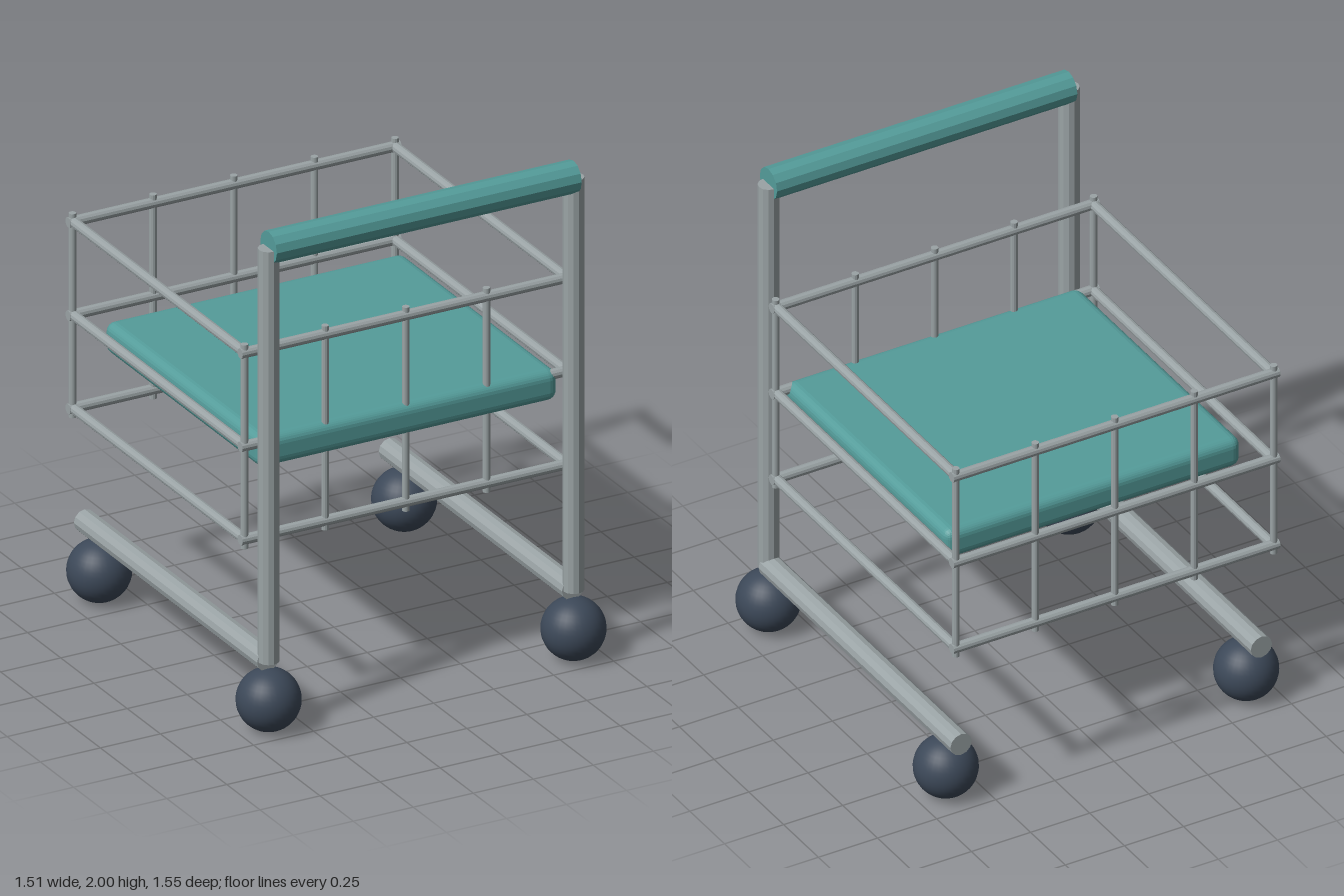
import * as THREE from 'three';
import { RoundedBoxGeometry } from 'three/addons/geometries/RoundedBoxGeometry.js';

export function createModel() {
  const group = new THREE.Group();
  const metal = new THREE.MeshStandardMaterial({ color: 0x9aa3a5, flatShading: true });
  metal.name = 'grey metal';
  const teal = new THREE.MeshStandardMaterial({ color: 0x549c9a, flatShading: true });
  teal.name = 'teal padding';
  const rubber = new THREE.MeshStandardMaterial({ color: 0x3c4858 });
  rubber.name = 'dark rubber';

  const add = (name, geometry, material, x, y, z) => {
    const mesh = new THREE.Mesh(geometry, material);
    mesh.name = name;
    mesh.position.set(x, y, z);
    group.add(mesh);
    return mesh;
  };

  // Straight round bar along one axis, centred on the given point
  const bar = (name, axis, radius, length, x, y, z, material = metal) => {
    const geometry = new THREE.CylinderGeometry(radius, radius, length, 12);
    if (axis === 'x') geometry.rotateZ(Math.PI / 2);
    if (axis === 'z') geometry.rotateX(Math.PI / 2);
    return add(name, geometry, material, x, y, z);
  };

  // Frame: uprights, floor rails and ball wheels on both sides
  for (const side of [-1, 1]) {
    const x = side * 0.635;
    bar('upright', 'y', 0.04, 1.66, x, 1.105, 0.655);
    bar('floorRail', 'z', 0.045, 1.38, x, 0.275, -0.04);
    for (const z of [0.655, -0.62]) {
      add('wheel', new THREE.SphereGeometry(0.121, 32, 20), rubber, x, 0.121, z);
    }
  }

  // Push handle
  bar('handle', 'x', 0.0625, 1.27, 0, 1.9375, 0.655, teal);

  // Basket: three rings of rails
  const front = 0.54, back = -0.755;
  for (const y of [0.725, 1.1, 1.475]) {
    for (const z of [front, back]) bar('basketCrossRail', 'x', 0.02, 1.38, 0, y, z);
    for (const x of [-0.67, 0.67]) bar('basketSideRail', 'z', 0.02, front - back, x, y, (front + back) / 2);
  }

  // Basket: thin vertical wires at the front and back
  for (const z of [front, back]) {
    for (const x of [-0.672, -0.336, 0, 0.336, 0.672]) {
      bar('basketWire', 'y', 0.014, 0.82, x, 1.1, z);
    }
  }

  // Seat cushion
  add('seat', new RoundedBoxGeometry(1.25, 0.125, 1.178, 3, 0.038), teal, 0, 1.0625, -0.022);

  return group;
}
